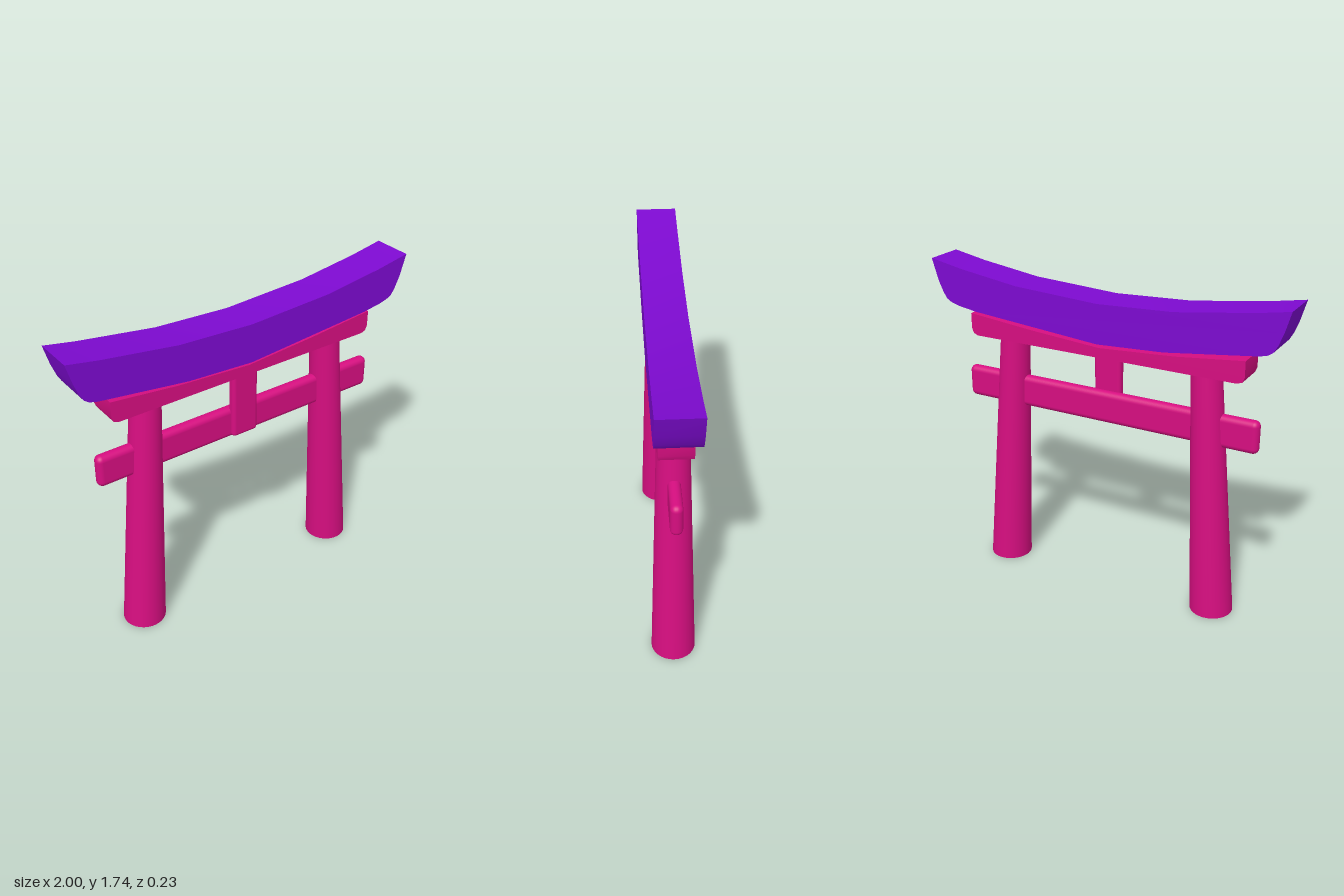
import * as THREE from 'three';
import { toCreasedNormals } from 'three/addons/utils/BufferGeometryUtils.js';
import { RoundedBoxGeometry } from 'three/addons/geometries/RoundedBoxGeometry.js';

const purple = new THREE.MeshStandardMaterial({ name: 'purple roof', color: 0x7d0ad0 });
const pink = new THREE.MeshStandardMaterial({ name: 'pink wood', color: 0xd60e80 });

// Extrudes a front outline, centred on z = 0, with smooth bends and sharp edges
function slab(points, depth) {
  const shape = new THREE.Shape(points.map(([x, y]) => new THREE.Vector2(x, y)));
  const geo = new THREE.ExtrudeGeometry(shape, { depth, bevelEnabled: false });
  geo.translate(0, 0, -depth / 2);
  return toCreasedNormals(geo, 0.5);
}

export function createModel() {
  const group = new THREE.Group();
  const add = (name, geo, mat, x = 0, y = 0, z = 0) => {
    const mesh = new THREE.Mesh(geo, mat);
    mesh.name = name;
    mesh.position.set(x, y, z);
    group.add(mesh);
  };

  // Curved roof beam with upswept ends
  add('roofBeam', slab([
    [-1, 1.735], [-0.97, 1.63], [-0.945, 1.565], [-0.925, 1.53], [-0.9, 1.512], [-0.86, 1.501],
    [-0.8, 1.493], [-0.37, 1.437], [0, 1.417], [0.73, 1.478], [0.84, 1.495], [0.89, 1.51],
    [0.915, 1.525], [0.935, 1.555], [0.965, 1.62], [1, 1.735],
    [0.81, 1.699], [0.476, 1.652], [0, 1.627], [-0.417, 1.647], [-0.834, 1.705],
  ], 0.215), purple);

  // Lintel under the roof, dipping in the middle, with rounded lower corners
  add('lintel', slab([
    [-0.785, 1.457], [-0.785, 1.375], [-0.774, 1.347], [-0.745, 1.337],
    [0.745, 1.337], [0.77, 1.347], [0.781, 1.375], [0.781, 1.457],
    [0.4, 1.42], [0, 1.39], [-0.42, 1.417],
  ], 0.166), pink);

  // Tapered posts leaning inwards, sheared so both ends stay level
  for (const side of [-1, 1]) {
    const height = 1.345;
    const geo = new THREE.CylinderGeometry(0.079, 0.115, height, 32);
    geo.translate(0, height / 2, 0);
    const p = geo.attributes.position;
    for (let i = 0; i < p.count; i++) {
      p.setX(i, p.getX(i) + side * (0.64 - 0.084 * p.getY(i) / height));
    }
    add(side > 0 ? 'leftPost' : 'rightPost', toCreasedNormals(geo, 0.6), pink);
  }

  // Tie beam through the posts, and the strut on its front
  add('tieBeam', new RoundedBoxGeometry(1.704, 0.175, 0.062, 4, 0.03), pink, 0.002, 1.043, 0);
  add('centreStrut', new RoundedBoxGeometry(0.155, 0.395, 0.05, 3, 0.02), pink, 0.002, 1.163, 0.03);

  return group;
}
